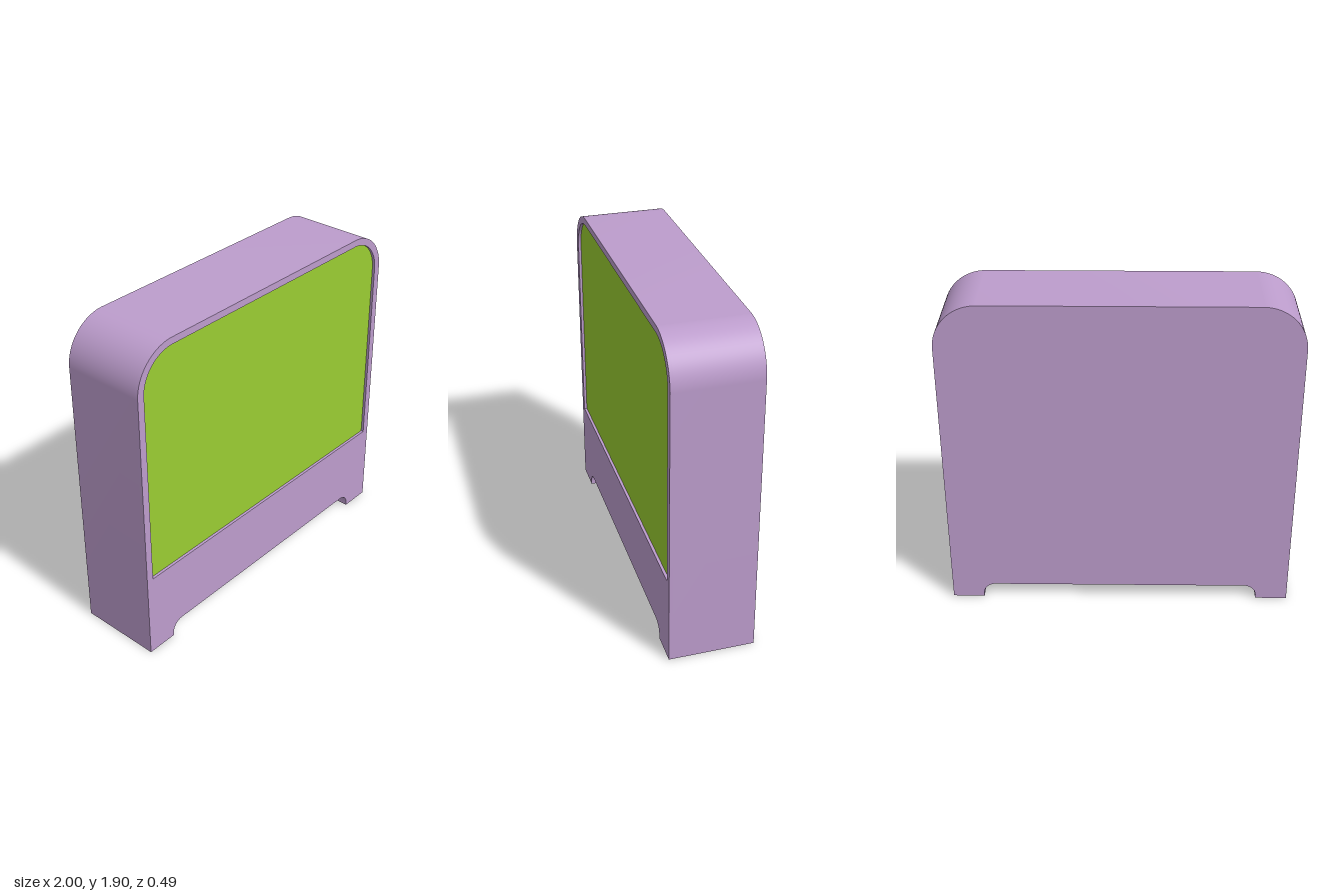
import * as THREE from 'three';
import { toCreasedNormals } from 'three/addons/utils/BufferGeometryUtils.js';

const HALF_DEPTH = 0.245;
const RECESS = 0.02;

// Outline with rounded top corners, and an optional rounded notch in the bottom edge
function outline(path, halfW, bottom, top, r, notch) {
  path.moveTo(halfW, bottom);
  path.lineTo(halfW, top - r);
  path.absarc(halfW - r, top - r, r, 0, Math.PI / 2, false);
  path.lineTo(-halfW + r, top);
  path.absarc(-halfW + r, top - r, r, Math.PI / 2, Math.PI, false);
  path.lineTo(-halfW, bottom);
  if (notch) {
    const { w, h, r: n } = notch;
    path.lineTo(-w, bottom);
    path.lineTo(-w, bottom + h - n);
    path.absarc(-w + n, bottom + h - n, n, Math.PI, Math.PI / 2, true);
    path.lineTo(w - n, bottom + h);
    path.absarc(w - n, bottom + h - n, n, Math.PI / 2, 0, true);
    path.lineTo(w, bottom);
  }
  path.closePath();
  return path;
}

function slab(name, shape, zBack, zFront, material) {
  const geometry = new THREE.ExtrudeGeometry(shape, {
    depth: zFront - zBack, bevelEnabled: false, curveSegments: 20,
  });
  geometry.translate(0, 0, zBack);
  const mesh = new THREE.Mesh(toCreasedNormals(geometry, 0.5), material);
  mesh.name = name;
  return mesh;
}

export function createModel() {
  const group = new THREE.Group();
  group.name = 'roundedCase';
  const lavender = new THREE.MeshStandardMaterial({ color: 0xbd9dcd });
  const green = new THREE.MeshStandardMaterial({ color: 0x9acd32 });

  const bodyShape = () => outline(new THREE.Shape(), 1, 0, 1.9, 0.25, { w: 0.815, h: 0.09, r: 0.07 });
  const windowArgs = [0.957, 0.505, 1.86, 0.21];
  const recessZ = HALF_DEPTH - RECESS;

  // Solid case behind the recess
  group.add(slab('caseBody', bodyShape(), -HALF_DEPTH, recessZ, lavender));

  // Front rim with the window opening
  const rim = bodyShape();
  rim.holes.push(outline(new THREE.Path(), ...windowArgs));
  group.add(slab('frontRim', rim, recessZ, HALF_DEPTH, lavender));

  // Coloured panel set into the window
  const panel = outline(new THREE.Shape(), ...windowArgs);
  group.add(slab('frontPanel', panel, recessZ - 0.02, recessZ + 0.004, green));

  return group;
}
